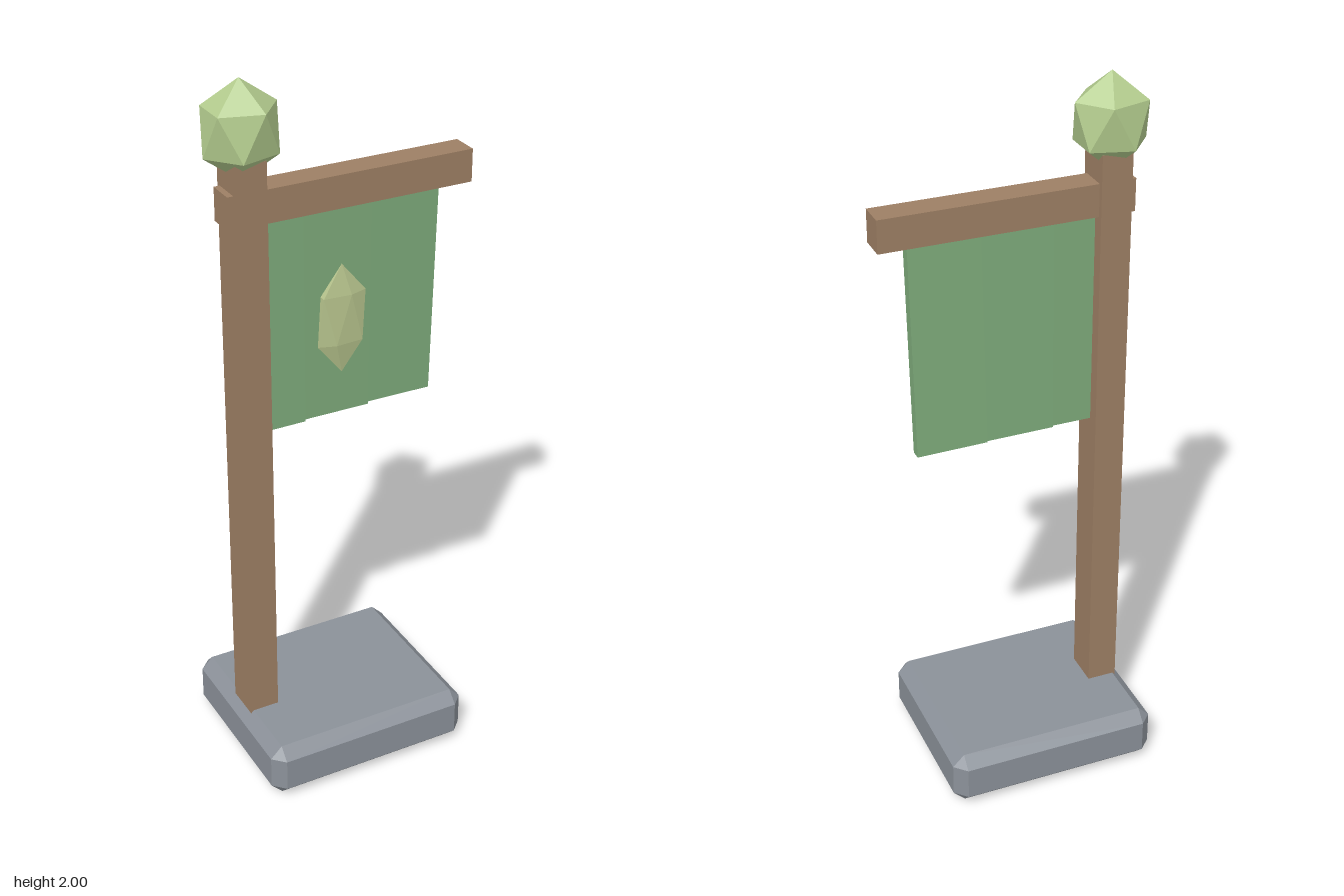
import * as THREE from 'three';
import { ConvexGeometry } from 'three/addons/geometries/ConvexGeometry.js';

const material = (name, color, flatShading = true) => {
  const m = new THREE.MeshStandardMaterial({ color, flatShading });
  m.name = name;
  return m;
};

// Box with every edge chamfered by c
function chamferedBox(w, h, d, c) {
  const points = [];
  for (const x of [-w / 2, w / 2])
    for (const y of [-h / 2, h / 2])
      for (const z of [-d / 2, d / 2]) {
        const [ix, iy, iz] = [x, y, z].map((v) => v - Math.sign(v) * c);
        points.push(
          new THREE.Vector3(x, iy, iz),
          new THREE.Vector3(ix, y, iz),
          new THREE.Vector3(ix, iy, z)
        );
      }
  return new ConvexGeometry(points);
}

// Icosahedron standing on a corner; rx and rz are the radii of its two rings
function standingIcosahedron(rx, ry, rz) {
  const points = [new THREE.Vector3(0, ry, 0), new THREE.Vector3(0, -ry, 0)];
  for (let i = 0; i < 10; i++) {
    const a = (i * Math.PI) / 5;
    const y = (i % 2 ? -1 : 1) * ry * 0.447;
    points.push(new THREE.Vector3(rx * Math.cos(a), y, rz * Math.sin(a)));
  }
  return new ConvexGeometry(points);
}

export function createModel() {
  const group = new THREE.Group();
  const stone = material('grey stone', 0x8b9199);
  const wood = material('brown wood', 0x9d7f64);
  const cloth = material('green cloth', 0x7eab7b);
  const leaf = material('pale green', 0xb3cc8e);
  const badge = material('yellow green', 0xb8c58e);

  const add = (name, geometry, mat, x, y, z) => {
    const mesh = new THREE.Mesh(geometry, mat);
    mesh.name = name;
    mesh.position.set(x, y, z);
    group.add(mesh);
    return mesh;
  };

  // Stone foot, post and crossbar
  add('base', chamferedBox(0.605, 0.16, 0.526, 0.033), stone, -0.033, 0.08, 0);
  add('post', new THREE.BoxGeometry(0.085, 1.7, 0.105), wood, -0.268, 0.95, 0);
  add('crossbar', new THREE.BoxGeometry(0.694, 0.09, 0.078), wood, 0.02, 1.675, 0);

  // Finial on the post
  add('finial', standingIcosahedron(0.1, 0.13, 0.088), leaf, -0.27, 1.87, 0);

  // Banner of three strips, each swinging a little further back
  for (let i = 0; i < 3; i++) {
    const geometry = new THREE.BoxGeometry(0.197, 0.61, 0.03);
    geometry.translate(0, -0.305, 0);
    const strip = add('bannerStrip' + (i + 1), geometry, cloth, -0.207 + i * 0.197, 1.64, -0.002 - i * 0.001);
    strip.rotation.x = i * 0.012;
    strip.rotation.z = -i * 0.006;
  }

  // Faceted emblem in front of the banner
  add('emblem', standingIcosahedron(0.07, 0.155, 0.016), badge, -0.01, 1.32, 0.032);

  return group;
}
